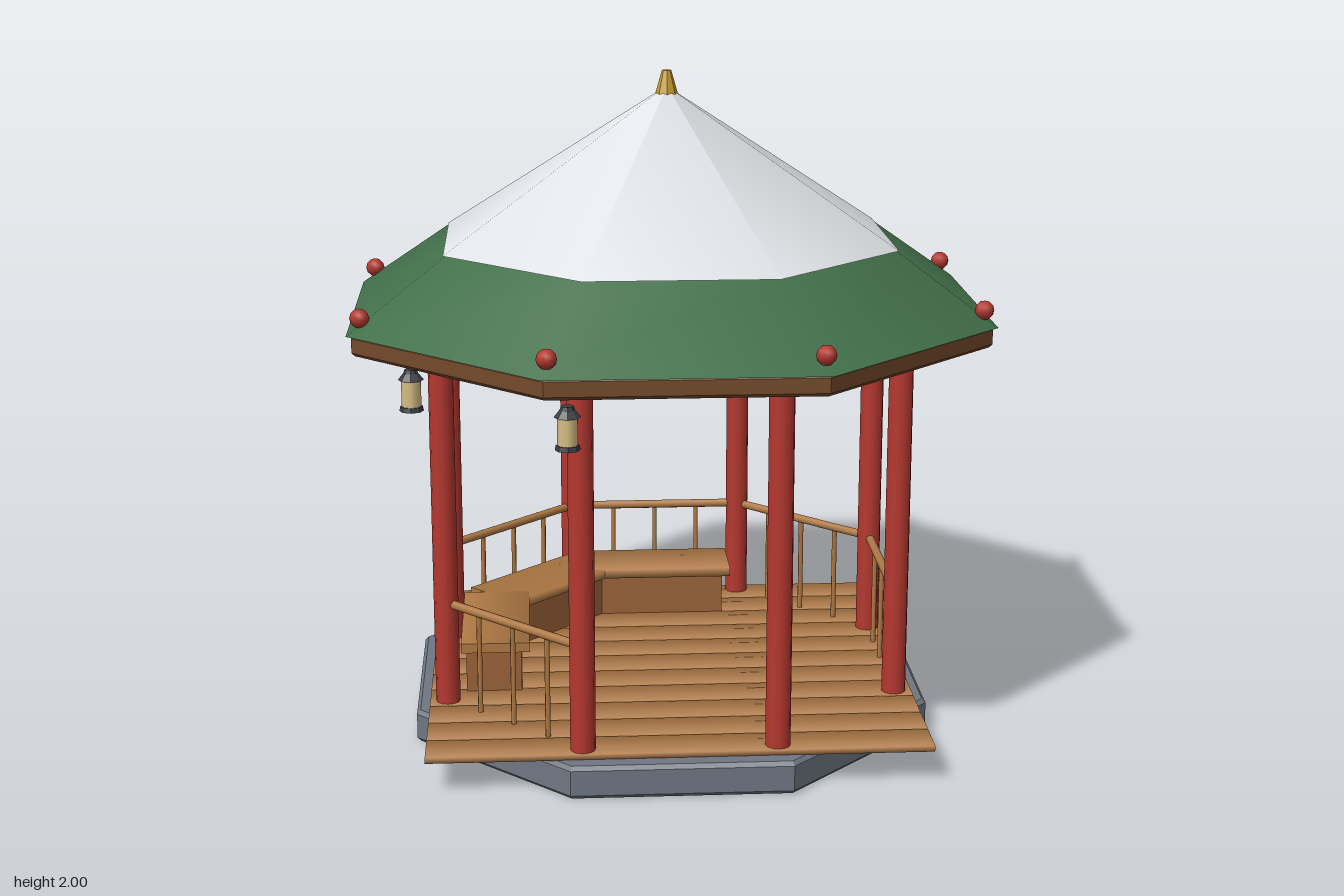
import * as THREE from 'three';

const EIGHTH = Math.PI / 4;
const APOTHEM = 0.685; // distance from the centre to each side between posts
const toRadius = (apothem) => apothem / Math.cos(EIGHTH / 2);

const paint = (color, options = {}) => new THREE.MeshStandardMaterial({ color, ...options });
const materials = {
  stone: paint(0x6f7782, { flatShading: true }),
  fascia: paint(0x744a2b, { flatShading: true }),
  beam: paint(0x8a5c34),
  wood: paint(0xb07a45),
  bench: paint(0x9c643a),
  red: paint(0xb5382f),
  green: paint(0x42704a),
  white: paint(0xdfe2e6),
  gold: paint(0xc59a2c, { flatShading: true }),
  iron: paint(0x3d4046, { flatShading: true }),
  glow: paint(0xd8bf85),
};

function add(parent, name, geometry, material, x = 0, y = 0, z = 0) {
  const mesh = new THREE.Mesh(geometry, material);
  mesh.name = name;
  mesh.position.set(x, y, z);
  parent.add(mesh);
  return mesh;
}

// Solid eight-sided slab with small bevels, sides facing the axes
function octagonSlab(apothem, bottom, top, bevel) {
  const r = toRadius(apothem);
  const profile = [
    [0, bottom], [r - bevel, bottom], [r, bottom + bevel],
    [r, top - bevel], [r - bevel, top], [0, top],
  ].map(([x, y]) => new THREE.Vector2(x, y));
  return new THREE.LatheGeometry(profile, 8).rotateY(EIGHTH / 2);
}

// Eight-sided roof tier
function roofTier(topApothem, bottomApothem, height, rows) {
  return new THREE.CylinderGeometry(toRadius(topApothem), toRadius(bottomApothem), height, 8, rows)
    .rotateY(EIGHTH / 2);
}

// Board running along x whose shading rolls over its long edges
function softBoard(width, height, depth) {
  const geometry = new THREE.BoxGeometry(width, height, depth);
  const { position, normal } = geometry.attributes;
  for (let i = 0; i < position.count; i++) {
    if (Math.abs(normal.getX(i)) > 0.5) continue;
    const n = new THREE.Vector3(0, Math.sign(position.getY(i)), 0.7 * Math.sign(position.getZ(i))).normalize();
    normal.setXYZ(i, n.x, n.y, n.z);
  }
  return geometry;
}

// Group turned so that its local +z points out through side k
function sideGroup(parent, name, k) {
  const group = new THREE.Group();
  group.name = name;
  group.rotation.y = k * EIGHTH;
  parent.add(group);
  return group;
}

function addRailing(parent, k) {
  const group = sideGroup(parent, 'railing', k);
  const rail = new THREE.CylinderGeometry(0.014, 0.014, 0.56, 8).rotateZ(Math.PI / 2);
  add(group, 'handrail', rail, materials.wood, 0, 0.432, APOTHEM);
  for (const x of [-0.142, 0, 0.142]) {
    add(group, 'baluster', new THREE.CylinderGeometry(0.008, 0.008, 0.32, 6), materials.wood, x, 0.27, APOTHEM);
  }
}

function addBench(parent, k) {
  const group = sideGroup(parent, 'bench', k);
  add(group, 'benchBase', new THREE.BoxGeometry(0.43, 0.14, 0.17), materials.bench, 0, 0.185, 0.545);
  add(group, 'benchSeat', softBoard(0.48, 0.03, 0.21), materials.wood, 0, 0.265, 0.54);
}

function addLantern(parent, x, z) {
  const lantern = new THREE.Group();
  lantern.name = 'lantern';
  lantern.position.set(x, 0, z);
  add(lantern, 'lanternFoot', new THREE.CylinderGeometry(0.033, 0.036, 0.014, 8), materials.iron, 0, 1.05, 0);
  add(lantern, 'lanternGlass', new THREE.CylinderGeometry(0.029, 0.029, 0.08, 8), materials.glow, 0, 1.097, 0);
  add(lantern, 'lanternCap', new THREE.CylinderGeometry(0.022, 0.038, 0.02, 8), materials.iron, 0, 1.147, 0);
  add(lantern, 'lanternTop', new THREE.CylinderGeometry(0.018, 0.022, 0.012, 8), materials.iron, 0, 1.162, 0);
  parent.add(lantern);
}

export function createModel() {
  const model = new THREE.Group();
  model.name = 'gazebo';

  // Stone footing and square plank deck
  add(model, 'footing', octagonSlab(0.78, 0, 0.1, 0.012), materials.stone);
  const planks = 11, pitch = 1.455 / planks;
  for (let i = 0; i < planks; i++) {
    const z = (i - (planks - 1) / 2) * pitch;
    add(model, 'deckPlank', softBoard(1.48, 0.018, pitch - 0.006), materials.wood, 0, 0.108, z);
  }

  // Posts at the corners, beams along the sides, balls on the eave corners
  for (let k = 0; k < 8; k++) {
    const angle = (k + 0.5) * EIGHTH, sin = Math.sin(angle), cos = Math.cos(angle);
    const r = toRadius(APOTHEM), ballR = 0.985;
    add(model, 'post', new THREE.CylinderGeometry(0.037, 0.037, 1.13, 12), materials.red, r * sin, 0.665, r * cos);
    add(model, 'eaveBall', new THREE.SphereGeometry(0.029, 8, 6), materials.red, ballR * sin, 1.335, ballR * cos);
    const side = sideGroup(model, 'beamSide', k);
    add(side, 'beam', new THREE.BoxGeometry(0.57, 0.05, 0.04), materials.beam, 0, 1.205, APOTHEM);
  }

  // Two neighbouring sides stay open as the entrance
  for (let k = 2; k < 8; k++) addRailing(model, k);
  for (let k = 4; k < 7; k++) addBench(model, k);

  // Lanterns outside two neighbouring posts
  addLantern(model, -0.77, 0.32);
  addLantern(model, -0.32, 0.77);

  // Roof: timber fascia, green skirt, pale upper cone and finial
  add(model, 'fascia', octagonSlab(0.935, 1.225, 1.288, 0.01), materials.fascia);
  add(model, 'lowerRoof', roofTier(0.66, 0.95, 0.212, 1), materials.green, 0, 1.391, 0);
  add(model, 'upperRoof', roofTier(0.004, 0.67, 0.455, 1), materials.white, 0, 1.7225, 0);
  add(model, 'finial', new THREE.CylinderGeometry(0.014, 0.034, 0.07, 8), materials.gold, 0, 1.965, 0);

  return model;
}
